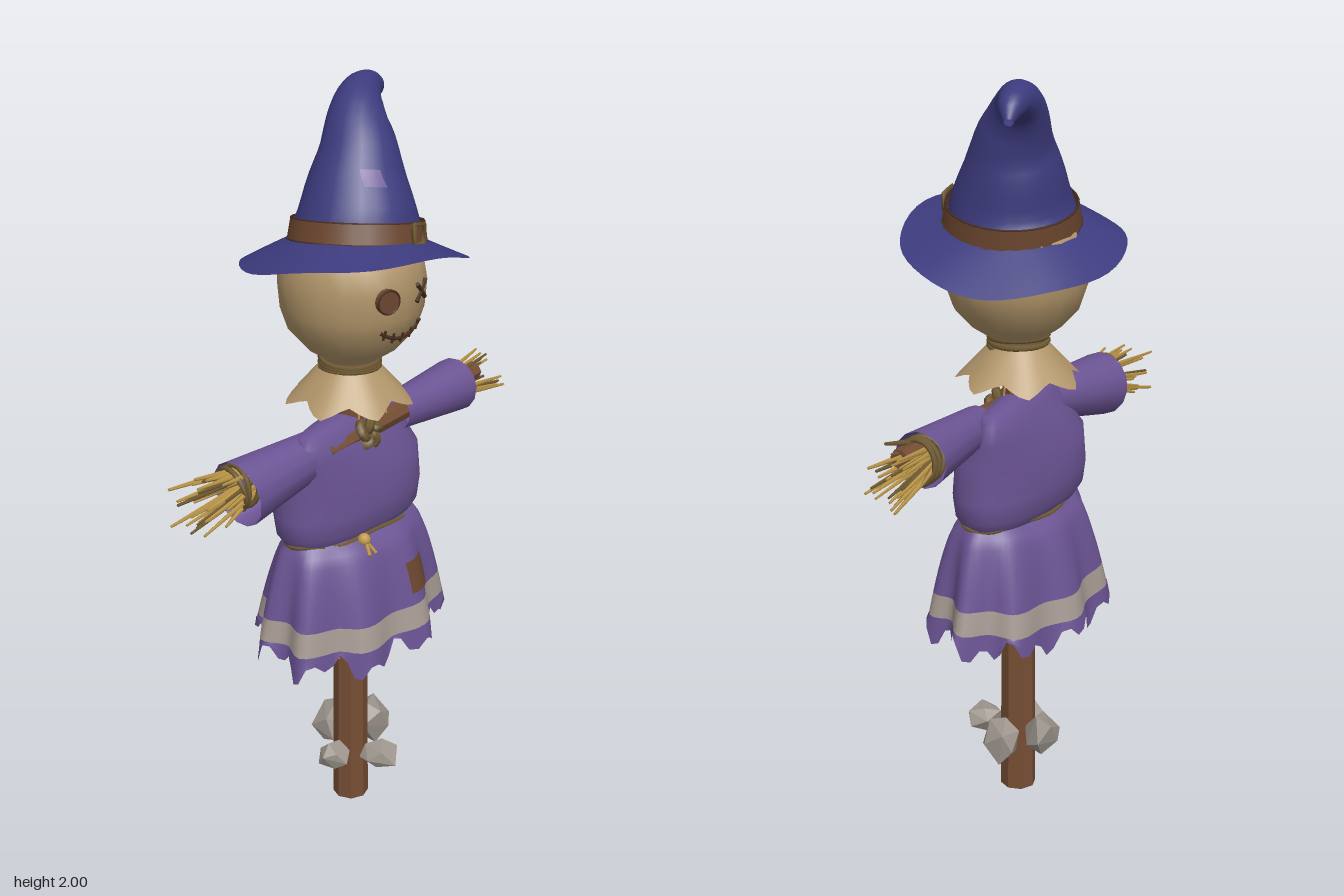
import * as THREE from 'three';
import { mergeGeometries } from 'three/addons/utils/BufferGeometryUtils.js';
import { ConvexGeometry } from 'three/addons/geometries/ConvexGeometry.js';

const V = (x, y, z) => new THREE.Vector3(x, y, z);
const UP = V(0, 1, 0);
const FRONT = V(0, 0, 1);

function material(name, color, extra = {}) {
  const m = new THREE.MeshStandardMaterial({ color, ...extra });
  m.name = name;
  return m;
}

// Surface from a rule fn(u, v); rows run upward, u closes on itself unless open
function grid(nu, nv, fn, open = false) {
  const pos = [], idx = [];
  const cols = open ? nu + 1 : nu;
  for (let j = 0; j <= nv; j++)
    for (let i = 0; i < cols; i++) pos.push(...fn(i / nu, j / nv).toArray());
  for (let j = 0; j < nv; j++)
    for (let i = 0; i < nu; i++) {
      const a = j * cols + i, b = j * cols + ((i + 1) % cols);
      idx.push(a, b, b + cols, a, b + cols, a + cols);
    }
  const g = new THREE.BufferGeometry();
  g.setAttribute('position', new THREE.Float32BufferAttribute(pos, 3));
  g.setIndex(idx);
  g.computeVertexNormals();
  return g;
}

// Cylinder from a to b
function between(a, b, ra, rb, seg = 8, open = false) {
  const d = b.clone().sub(a), g = new THREE.CylinderGeometry(rb, ra, d.length(), seg, 1, open);
  g.applyQuaternion(new THREE.Quaternion().setFromUnitVectors(UP, d.clone().normalize()));
  const c = a.clone().add(b).multiplyScalar(0.5);
  return g.translate(c.x, c.y, c.z);
}

// Piecewise linear lookup in rows of [key, value, value...]
function lookup(rows, k) {
  let i = 0;
  while (i < rows.length - 2 && k > rows[i + 1][0]) i++;
  const a = rows[i], b = rows[i + 1], t = (k - a[0]) / (b[0] - a[0]);
  return a.map((v, n) => v + (b[n] - v) * t);
}

export function createModel() {
  let seed = 7;
  const rand = () => (seed = (seed * 16807) % 2147483647) / 2147483647;
  const jitter = (s) => V(rand() - 0.5, rand() - 0.5, rand() - 0.5).multiplyScalar(2 * s);
  const root = new THREE.Group();
  const cloth = { side: THREE.DoubleSide };
  const hatBlue = material('hat blue', 0x3d3b7e, cloth);
  const purple = material('dress purple', 0x6b5494, cloth);
  const sack = material('sackcloth', 0xb2966a, cloth);
  const wood = material('wood', 0x764e34, { flatShading: true });
  const leather = material('leather', 0x6b462e, cloth);
  const thread = material('dark thread', 0x4a2f20);
  const stripe = material('hem stripe', 0xa89c94, cloth);
  const straw = material('straw', 0xc09a4a);
  const rope = material('rope', 0x725c34);
  const stone = material('stone', 0xa09890, { flatShading: true });
  const add = (name, geo, mat, parent = root) => {
    const m = new THREE.Mesh(geo, mat);
    m.name = name;
    parent.add(m);
    return m;
  };

  // Post and crossbar with a rope knot
  add('post', between(V(0.004, 0.005, -0.005), V(0.002, 1.3, -0.005), 0.049, 0.042), wood);
  add('crossbar', between(V(-0.15, 1.112, 0.05), V(0.5, 1.135, 0), 0.027, 0.026, 7), wood);
  const knot = add('crossKnot', new THREE.TorusKnotGeometry(0.025, 0.013, 60, 5, 2, 5), rope);
  knot.position.set(0, 1.12, 0.06);

  // Torso: stacked ovals of [y, half width, half depth]
  const body = [[0.845, 0.215, 0.09], [0.875, 0.237, 0.108], [0.93, 0.245, 0.114], [1.03, 0.237, 0.107],
    [1.09, 0.231, 0.08], [1.14, 0.228, 0.055], [1.162, 0.215, 0.035], [1.168, 0.03, 0.02]];
  add('torso', grid(36, 7, (u, v) => {
    const [y, rx, rz] = body[Math.round(v * 7)], a = u * Math.PI * 2;
    const c = Math.cos(a), s = Math.sin(a);
    const x = rx * Math.sign(c) * Math.abs(c) ** 0.8;
    return V(x, y, -rz * Math.sign(s) * Math.abs(s) ** 0.9 - 0.01 - (y > 1.08 ? 0.19 * x : 0));
  }), purple);

  // Pleated skirt in three bands with a ragged hem
  const skirt = (a, t, grow = 0) => {
    const p = 1 + 0.085 * t ** 0.6 * Math.sin(9 * a + 0.6) + 0.02 * t * Math.sin(4 * a);
    const rag = Math.max(0, (t - 0.86) / 0.14) * (0.02 * Math.sin(8 * a + 2) + 0.024 * Math.sin(19 * a + 1));
    return V(Math.cos(a) * (0.215 + 0.075 * t ** 0.6) * p, 0.855 - 0.315 * t + rag + 0.012 * t * Math.sin(2 * a + 2.4),
      -Math.sin(a) * (0.09 + 0.107 * t ** 0.45) * p - 0.003).multiply(V(1 + grow, 1, 1 + grow));
  };
  const band = (name, t0, t1, rows, mat) => add(name, grid(76, rows, (u, v) =>
    skirt(u * Math.PI * 2, t1 + (t0 - t1) * v)), mat);
  band('skirt', 0, 0.665, 8, purple);
  band('skirtStripe', 0.665, 0.865, 3, stripe);
  band('skirtHem', 0.865, 1, 2, purple);
  add('skirtPatch', grid(6, 6, (u, v) => skirt(-1.4 + 0.34 * u, 0.56 - 0.26 * v, 0.03), true), leather);

  // Waist rope with a knot and tails
  const waist = [];
  for (let i = 0; i < 24; i++) {
    const a = i / 24 * Math.PI * 2, w = 1 + 0.02 * Math.sin(7 * a);
    waist.push(V(0.219 * w * Math.cos(a), 0.85 + 0.005 * Math.sin(5 * a), 0.096 * w * Math.sin(a) - 0.007));
  }
  add('waistRope', new THREE.TubeGeometry(new THREE.CatmullRomCurve3(waist, true), 72, 0.007, 5, true), rope);
  add('waistKnot', new THREE.IcosahedronGeometry(0.018, 1).translate(-0.055, 0.847, 0.098), straw);
  for (const dx of [-0.012, 0.012])
    add('ropeTail', between(V(-0.055, 0.845, 0.103), V(-0.055 + dx, 0.815, 0.13), 0.006, 0.005, 5), straw);

  // Bunches of straw
  function bunch(name, n, start, end, mat, r = 0.007) {
    const parts = [];
    for (let i = 0; i < n; i++) parts.push(between(start(i / n), end(i / n), r, r * 0.4, 4));
    add(name, mergeGeometries(parts), mat);
  }

  // Sleeves, wrist ropes and straw hands
  for (const arm of [
    { side: 1, name: 'left', a: V(0.158, 1.118, 0.012), b: V(0.43, 1.112, -0.01), r0: 0.05, r1: 0.074 },
    { side: -1, name: 'right', a: V(-0.14, 1.1, 0.01), b: V(-0.41, 1.066, 0), r0: 0.058, r1: 0.087 },
  ]) {
    const dir = arm.b.clone().sub(arm.a).normalize();
    add(arm.name + 'Sleeve', between(arm.a, arm.b, arm.r0, arm.r1, 14, true), purple);
    const wrist = arm.b.clone().addScaledVector(dir, 0.002);
    if (arm.side < 0) wrist.y += 0.022;
    for (let i = 0; i < 3; i++) {
      const ring = add(arm.name + 'WristRope', new THREE.TorusGeometry(0.056, 0.007, 5, 18), rope);
      ring.position.copy(wrist).addScaledVector(dir, (i - 1) * 0.012);
      ring.quaternion.setFromUnitVectors(FRONT, dir.clone().add(jitter(0.25)).normalize());
    }
    // Blades fan out from the wrist
    const blades = (count, mat) => {
      let turn = 0, spread = 0;
      const around = (r) => V(0, Math.cos(turn) * r, Math.sin(turn) * r);
      bunch(arm.name + 'Hand', count, () => {
        turn = rand() * Math.PI * 2;
        spread = 0.35 + 0.65 * rand();
        return wrist.clone().addScaledVector(dir, -0.03).add(around(0.04 * spread));
      }, () => wrist.clone().addScaledVector(dir, 0.075 + 0.1 * rand()).add(around(0.08 * spread)), mat, 0.0095);
    };
    blades(22, straw);
    blades(7, rope);
  }

  // Straw showing under the skirt and under the collar
  const ring = (k, r, y) => V(r * Math.cos(k * 6.283), y, r * Math.sin(k * 6.283));
  bunch('skirtStraw', 24, (k) => ring(k, 0.05, 0.66),
    (k) => ring(k, 0.065 + 0.05 * rand(), 0.465 + 0.08 * rand()), straw);
  bunch('neckStraw', 18, (k) => ring(k, 0.045, 1.27),
    (k) => ring(k, 0.055 + 0.04 * rand(), 1.165 + 0.04 * rand()), straw);

  // Collar with pointed edge, and neck ropes
  add('collar', grid(42, 4, (u, v) => {
    const a = u * Math.PI * 2, d = 1 - v;
    const point = Math.abs(((u * 7 + 0.2) % 1) - 0.5) * 2;
    const r = 0.068 + d * (0.066 + 0.036 * point);
    return V(r * Math.cos(a), 1.305 - d * (0.078 + 0.032 * point), -r * Math.sin(a) - 0.005);
  }), sack);
  for (let i = 0; i < 3; i++) {
    const t = add('neckRope', new THREE.TorusGeometry(0.075, 0.008, 5, 24), rope);
    t.position.set(0, 1.29 + i * 0.013, -0.003);
    t.rotation.set(Math.PI / 2 + (i - 1) * 0.08, (i - 1) * 0.07, 0);
  }

  // Head
  const face = [[1.29, 0.062], [1.32, 0.075], [1.35, 0.12], [1.4, 0.164], [1.46, 0.184], [1.53, 0.19],
    [1.6, 0.178], [1.66, 0.13], [1.69, 0]];
  const headX = 0.004;
  add('head', new THREE.LatheGeometry(face.map(([y, r]) => new THREE.Vector2(r, y)), 20), sack).position.x = headX;
  const onFace = (x, y, out = 0) => {
    const r = lookup(face, y)[1] + out;
    return V(x + headX, y, Math.sqrt(r * r - x * x));
  };

  // Button eye, crossed eye and stitched mouth
  const eye = new THREE.Group();
  eye.name = 'buttonEye';
  eye.position.copy(onFace(-0.066, 1.519, 0.003));
  eye.rotation.y = -0.3;
  root.add(eye);
  add('button', new THREE.CylinderGeometry(0.03, 0.032, 0.014, 16).rotateX(Math.PI / 2), leather, eye);
  add('buttonRim', new THREE.TorusGeometry(0.03, 0.003, 5, 18).translate(0, 0, 0.006), thread, eye);
  for (const s of [-1, 1])
    add('crossEye', between(onFace(0.058 - 0.023, 1.518 - s * 0.023, 0.003),
      onFace(0.058 + 0.023, 1.518 + s * 0.023, 0.003), 0.006, 0.006, 5), thread);
  const smileY = (x) => 1.408 + 5 * x * x;
  const smile = [];
  for (let i = -4; i <= 4; i++) smile.push(onFace(i * 0.0185, smileY(i * 0.0185), 0.002));
  add('mouth', new THREE.TubeGeometry(new THREE.CatmullRomCurve3(smile), 24, 0.005, 5), thread);
  for (const x of [-0.06, -0.032, 0, 0.032, 0.06])
    add('mouthStitch', between(onFace(x, smileY(x) - 0.013, 0.003), onFace(x, smileY(x) + 0.013, 0.003),
      0.0035, 0.0035, 5), thread);

  // Hat brim: tilted and drooping at the sides
  add('hatBrim', grid(48, 6, (u, v) => {
    const a = u * Math.PI * 2, d = 1 - v;
    const x = Math.cos(a) * (0.15 + 0.15 * d), z = -Math.sin(a) * (0.15 + 0.128 * d);
    const y = 1.635 - 0.066 * d - 0.145 * x + (0.12 + 0.05 * d) * z
      - d * (0.011 * Math.cos(2 * a) + 0.005 * Math.sin(5 * a));
    return V(x + 0.015, y, z);
  }), hatBlue);

  // Hat crown: rings along a bent path of [x, y, z, radius]
  const crown = [[0.02, 1.61, 0, 0.17], [0.027, 1.67, -0.002, 0.157], [0.045, 1.75, -0.018, 0.131],
    [0.066, 1.83, -0.034, 0.102], [0.094, 1.9, -0.066, 0.077], [0.133, 1.942, -0.095, 0.058],
    [0.185, 1.958, -0.12, 0.042], [0.228, 1.95, -0.138, 0.033], [0.26, 1.924, -0.153, 0.012]];
  const path = new THREE.CatmullRomCurve3(crown.map((c) => V(c[0], c[1], c[2])));
  const radii = crown.map((c, i) => [i / 8, c[3]]);
  const onCrown = (a, v, out = 0) => {
    const p = path.getPoint(v), tan = path.getTangent(v), r = lookup(radii, v)[1] + out;
    const side = V(0, 0, -1).addScaledVector(tan, tan.z).normalize();
    const across = side.clone().cross(tan);
    return p.addScaledVector(across, r * Math.cos(a)).addScaledVector(side, r * Math.sin(a));
  };
  add('hatCrown', grid(24, 24, (u, v) => onCrown(u * Math.PI * 2, v)), hatBlue);
  add('hatPatch', grid(4, 4, (u, v) => onCrown(-2.3 + 0.42 * u - 0.1 * v, 0.235 + 0.07 * v, 0.006), true), purple);

  // Hat band with edging and buckle
  const hatBand = new THREE.Group();
  hatBand.name = 'hatBand';
  hatBand.position.set(0.025, 1.646, 0);
  hatBand.quaternion.setFromUnitVectors(UP, V(0.17, 1, -0.12).normalize());
  root.add(hatBand);
  add('strap', new THREE.CylinderGeometry(0.168, 0.176, 0.054, 28, 1, true), leather, hatBand);
  for (const s of [-1, 1])
    add('strapEdge', new THREE.TorusGeometry(0.171 - s * 0.005, 0.003, 5, 28).rotateX(Math.PI / 2)
      .translate(0, s * 0.026, 0), thread, hatBand);
  const buckle = add('buckle', new THREE.TorusGeometry(0.034, 0.007, 4, 4).rotateZ(Math.PI / 4), rope, hatBand);
  buckle.position.set(0.033, 0, 0.173);
  buckle.rotation.y = 0.2;

  // Stones around the post: centre and half sizes, each the hull of a few uneven points
  for (const [x, y, z, sx, sy, sz] of [[0.11, 0.187, -0.025, 0.06, 0.066, 0.058], [-0.088, 0.172, 0.015, 0.046, 0.043, 0.046],
    [-0.006, 0.176, 0.11, 0.06, 0.042, 0.053], [0.01, 0.187, -0.088, 0.056, 0.062, 0.054]]) {
    const points = [];
    for (let i = 0; i < 11; i++) {
      const h = 1 - (2 * i + 1) / 11, a = i * 2.4 + x * 30, r = Math.sqrt(1 - h * h);
      points.push(V(r * Math.cos(a), h, r * Math.sin(a)).add(jitter(0.18)).multiply(V(sx, sy, sz)));
    }
    add('stone', new ConvexGeometry(points).translate(x, y, z), stone);
  }
  return root;
}
